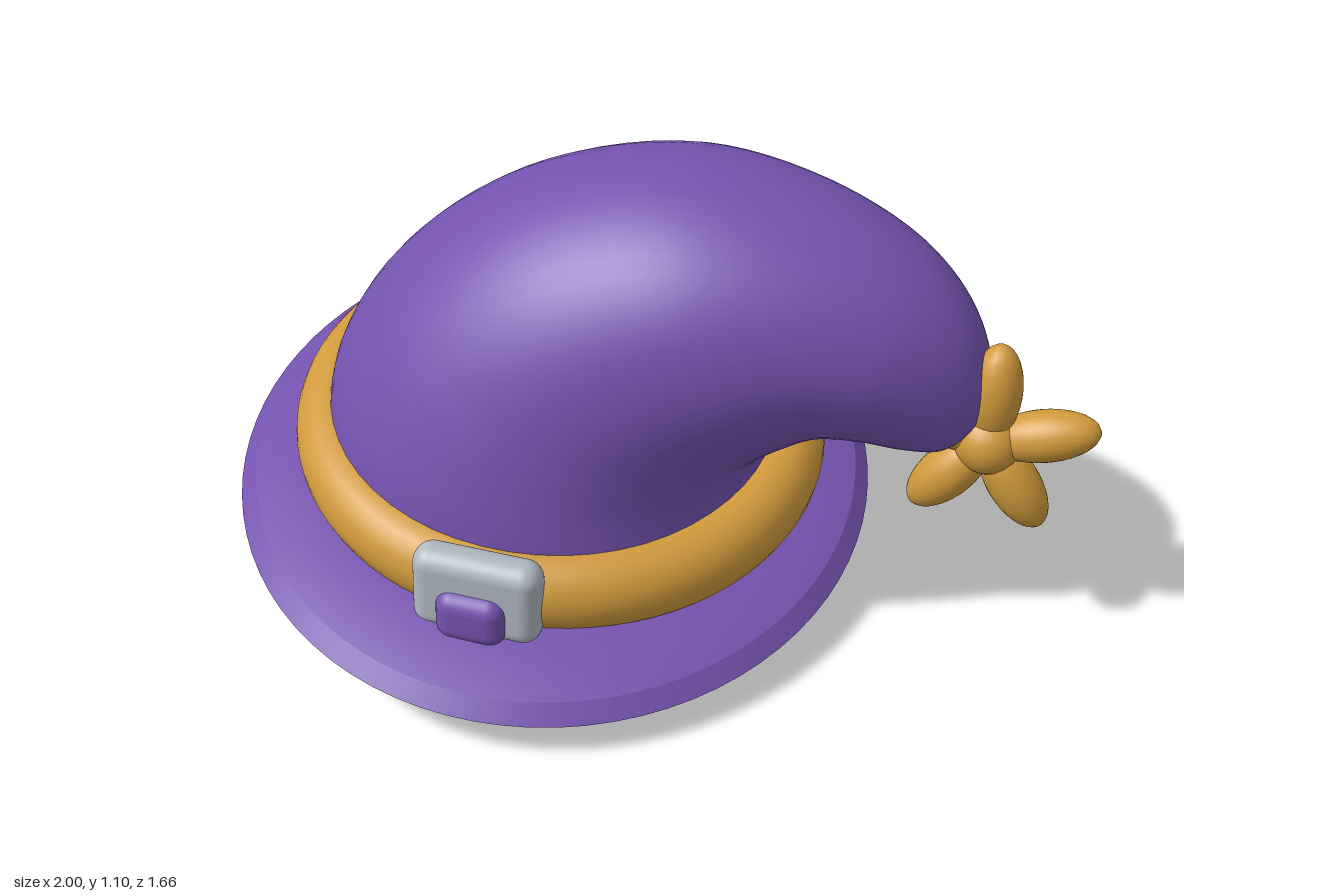
import * as THREE from 'three';
import { RoundedBoxGeometry } from 'three/addons/geometries/RoundedBoxGeometry.js';

const mat = (name, color) => {
  const m = new THREE.MeshStandardMaterial({ color });
  m.name = name;
  return m;
};

// Closed loft: each row is [top x, top y, bottom x, bottom y, centre z, half width]
function loft(rows, rings, sides) {
  const top = new THREE.CatmullRomCurve3(rows.map(r => new THREE.Vector3(r[0], r[1], r[4])));
  const low = new THREE.CatmullRomCurve3(rows.map(r => new THREE.Vector3(r[2], r[3], r[5])));
  const pos = [], index = [];
  for (let i = 0; i <= rings; i++) {
    const a = top.getPoint(i / rings), b = low.getPoint(i / rings);
    for (let j = 0; j < sides; j++) {
      const t = j / sides * Math.PI * 2, c = Math.cos(t);
      pos.push(
        (a.x + b.x) / 2 + c * (a.x - b.x) / 2,
        (a.y + b.y) / 2 + c * (a.y - b.y) / 2,
        a.z + Math.sin(t) * b.z);
      if (i === rings) continue;
      const p = i * sides + j, q = i * sides + (j + 1) % sides;
      index.push(p, q, p + sides, q, q + sides, p + sides);
    }
  }
  const g = new THREE.BufferGeometry();
  g.setAttribute('position', new THREE.Float32BufferAttribute(pos, 3));
  g.setIndex(index);
  g.computeVertexNormals();
  return g;
}

export function createModel() {
  const hat = new THREE.Group();
  hat.name = 'hat';
  const purple = mat('purple felt', 0x7553b0);
  const gold = mat('golden cloth', 0xd09a3c);
  const silver = mat('silver metal', 0xb0b8c2);
  const add = (parent, name, geometry, material) => {
    const m = new THREE.Mesh(geometry, material);
    m.name = name;
    parent.add(m);
    return m;
  };

  // Tilted brim: domed underside, bevelled rim and gently raised top
  const brim = new THREE.Group();
  brim.name = 'brim';
  brim.position.set(-0.255, 0.22, 0);
  brim.rotation.set(0.13, 0, -0.11);
  brim.scale.set(0.75, 1, 0.835);
  hat.add(brim);
  const profiles = {
    brimUnderside: [[0, -0.16], [0.3, -0.156], [0.6, -0.14], [0.75, -0.12], [0.87, -0.09], [0.95, -0.055]],
    brimLowerBevel: [[0.95, -0.055], [1, 0]],
    brimUpperBevel: [[1, 0], [0.953, 0.035]],
    brimTop: [[0.953, 0.035], [0.85, 0.058], [0.7, 0.072], [0, 0.08]],
  };
  for (const [name, pts] of Object.entries(profiles)) {
    add(brim, name, new THREE.LatheGeometry(pts.map(p => new THREE.Vector2(...p)), 80), purple);
  }

  // Band around the foot of the crown
  const band = new THREE.Group();
  band.name = 'band';
  band.position.set(-0.243, 0.34, 0.015);
  band.rotation.set(0.14, 0, -0.1);
  hat.add(band);
  const ring = add(band, 'bandRing', new THREE.TorusGeometry(0.54, 0.09, 24, 80), gold);
  ring.rotation.x = Math.PI / 2;
  ring.scale.z = 1.05;

  // Crown, bending over to the left and narrowing to a drooping tip
  add(hat, 'crown', loft([
    [-0.80, 0.34, 0.28, 0.24, 0.035, 0.535],
    [-0.75, 0.56, 0.27, 0.35, 0.03, 0.52],
    [-0.58, 0.80, 0.28, 0.41, 0.06, 0.46],
    [-0.30, 1.00, 0.31, 0.445, 0.08, 0.41],
    [0.05, 1.095, 0.36, 0.48, 0.09, 0.36],
    [0.35, 1.055, 0.41, 0.505, 0.095, 0.30],
    [0.58, 0.95, 0.48, 0.505, 0.10, 0.24],
    [0.70, 0.83, 0.57, 0.487, 0.105, 0.175],
    [0.755, 0.70, 0.655, 0.49, 0.115, 0.11],
    [0.755, 0.62, 0.71, 0.53, 0.125, 0.05],
    [0.745, 0.575, 0.745, 0.575, 0.13, 0],
  ], 60, 56), purple);

  // Star-shaped tassel at the tip
  const tassel = new THREE.Group();
  tassel.name = 'starTassel';
  tassel.position.set(0.765, 0.53, 0.138);
  hat.add(tassel);
  add(tassel, 'starCentre', new THREE.SphereGeometry(0.075, 24, 16), gold);
  for (const deg of [88, 15, -57, -129, 160]) {
    const a = deg * Math.PI / 180;
    const arm = add(tassel, 'starArm', new THREE.SphereGeometry(1, 24, 16), gold);
    arm.scale.set(0.122, 0.058, 0.058);
    arm.position.set(Math.cos(a) * 0.122, Math.sin(a) * 0.122, 0);
    arm.rotation.z = a;
  }

  // Buckle with a raised centre
  const buckle = new THREE.Group();
  buckle.name = 'buckle';
  buckle.position.set(-0.25, 0.278, 0.615);
  buckle.rotation.z = -0.05;
  hat.add(buckle);
  add(buckle, 'bucklePlate', new RoundedBoxGeometry(0.29, 0.205, 0.09, 5, 0.042), silver);
  const centre = add(buckle, 'buckleCentre', new RoundedBoxGeometry(0.16, 0.125, 0.1, 5, 0.04), purple);
  centre.position.set(-0.003, -0.04, 0.023);

  return hat;
}
